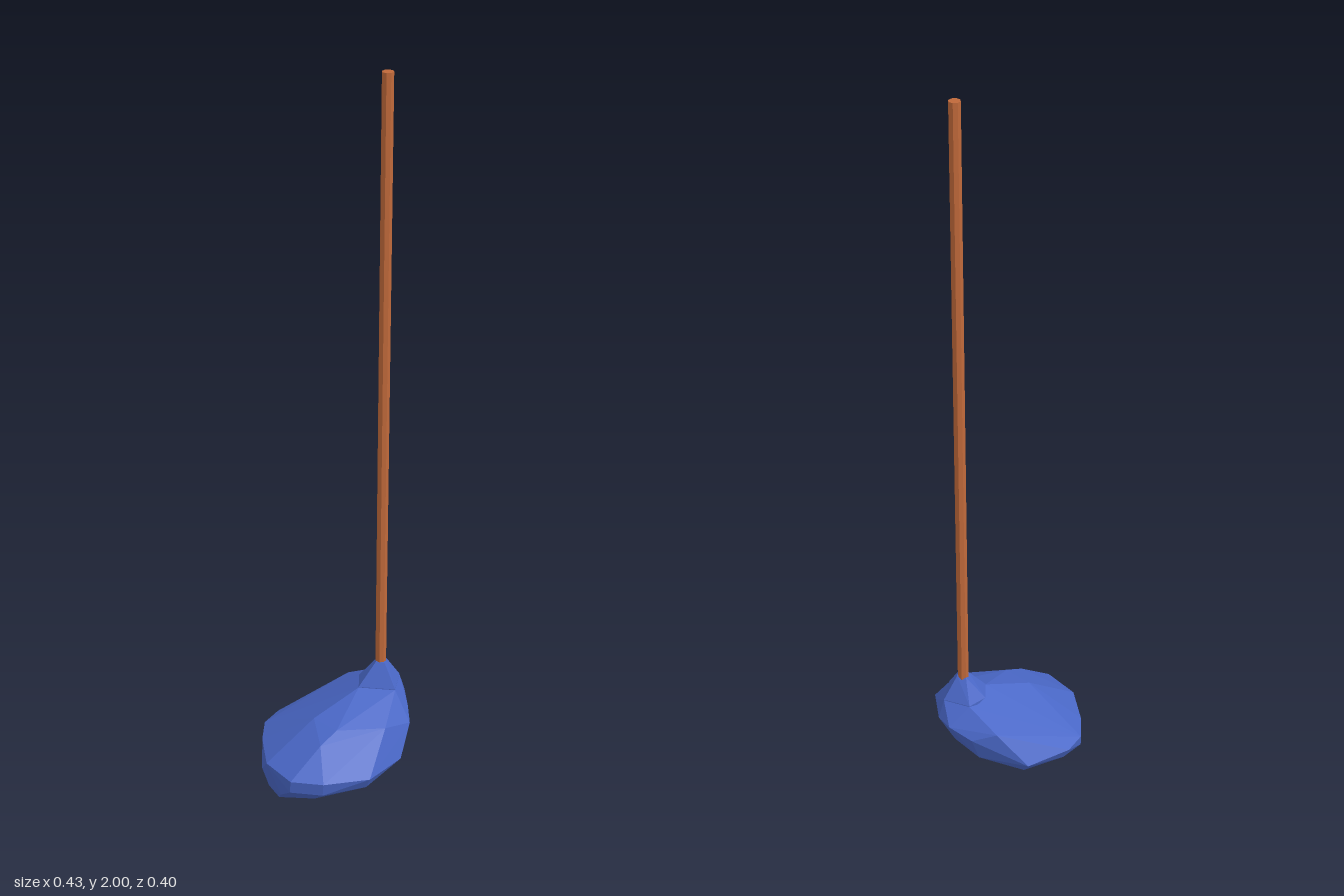
import * as THREE from 'three';
import { ConvexGeometry } from 'three/addons/geometries/ConvexGeometry.js';

const blue = new THREE.MeshStandardMaterial({ color: 0x4a68c8, flatShading: true });
blue.name = 'blue head';
const copper = new THREE.MeshStandardMaterial({ color: 0xc0693a, flatShading: true });
copper.name = 'copper shaft';

// faceted solid from levels: each is a height and its [x, z] corners
function faceted(name, levels) {
  const points = [];
  for (const [y, ring] of levels) {
    for (const [x, z] of ring) points.push(new THREE.Vector3(x, y, z));
  }
  const mesh = new THREE.Mesh(new ConvexGeometry(points), blue);
  mesh.name = name;
  return mesh;
}

export function createModel() {
  const model = new THREE.Group();
  model.name = 'club';

  // lumpy head, leaning up toward the shaft
  model.add(faceted('head', [
    [0, [[-0.18, 0], [-0.18, -0.06], [-0.06, 0], [-0.07, -0.06]]],
    [0.05, [[-0.2, 0.05], [-0.19, -0.08], [-0.13, 0.11], [-0.03, 0.11], [-0.12, -0.13], [-0.02, -0.13]]],
    [0.09, [[-0.2, 0.1], [-0.13, 0.155], [-0.01, 0.18], [0.05, -0.17], [0.13, -0.03], [0.13, 0.05],
      [-0.14, -0.16], [-0.07, -0.18]]],
    [0.128, [[-0.217, 0], [-0.2, 0.105], [-0.13, 0.16], [-0.01, 0.2], [0.11, 0.16], [0.168, 0],
      [0.15, -0.1], [0.055, -0.2], [-0.075, -0.2], [-0.133, -0.17], [-0.175, -0.105]]],
    [0.2, [[0.165, 0.115], [0.175, -0.105], [-0.1, 0.09]]],
    [0.225, [[0.217, 0], [0.213, -0.05], [0.185, 0.07], [-0.045, 0.08], [-0.07, 0],
      [0.075, 0.135], [0.12, -0.145]]],
    [0.278, [[0.07, 0], [0.15, 0.06], [0.155, -0.06], [0.2, 0]]],
  ]));

  // neck gripping the shaft
  model.add(faceted('neck', [
    [0.26, [[0.07, 0], [0.15, 0.06], [0.155, -0.06], [0.2, 0]]],
    [0.28, [[0.07, 0], [0.15, 0.06], [0.155, -0.06], [0.2, 0], [0.1, -0.05]]],
    [0.345, [[0.124, 0], [0.141, 0.018], [0.158, 0], [0.141, -0.018]]],
  ]));

  // straight shaft
  const shaft = new THREE.Mesh(new THREE.CylinderGeometry(0.015, 0.015, 1.7, 8), copper);
  shaft.name = 'shaft';
  shaft.position.set(0.141, 1.15, -0.003);
  model.add(shaft);

  return model;
}
